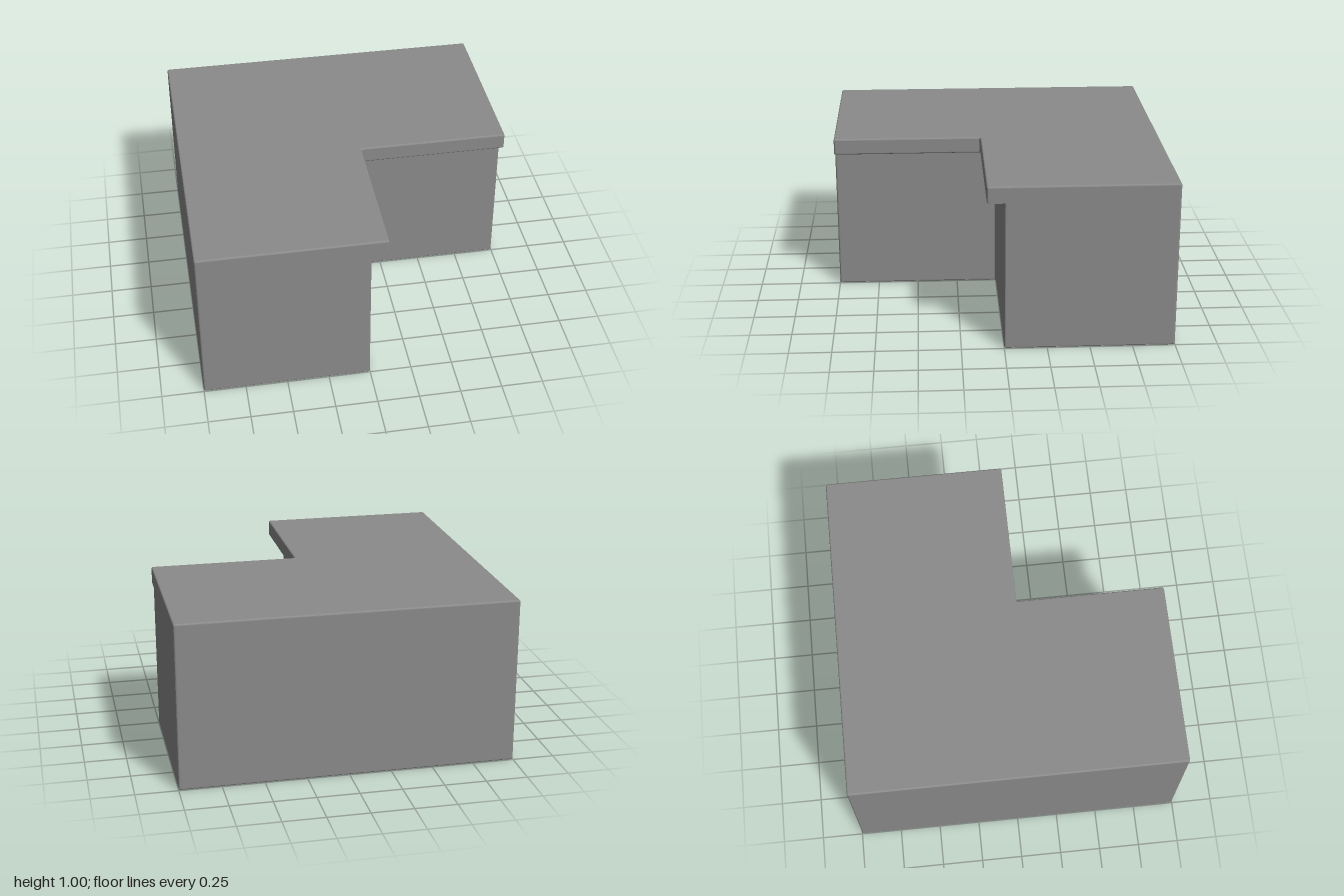
import * as THREE from 'three';

const BEVEL = 0.01, ROUND = 0.012, STEPS = 4;

// L-shaped outline with rounded corners: inset from the outer walls, notch edges at x = c and z = c
function outline(inset, c) {
  const lo = -1 + inset, hi = 1 - inset;
  const corners = [[lo, lo], [hi, lo], [hi, c], [c, c], [c, hi], [lo, hi]].map(p => new THREE.Vector2(...p));
  const points = [];
  corners.forEach((p, i) => {
    const u = corners[(i + 5) % 6].clone().sub(p).normalize();
    const v = corners[(i + 1) % 6].clone().sub(p).normalize();
    const r = i === 3 ? ROUND + inset : ROUND - inset;
    for (let k = 0; k <= STEPS; k++) {
      const t = (k / STEPS) * Math.PI / 2;
      points.push(new THREE.Vector2(
        p.x + r * (u.x + v.x - v.x * Math.cos(t) - u.x * Math.sin(t)),
        p.y + r * (u.y + v.y - v.y * Math.cos(t) - u.y * Math.sin(t))));
    }
  });
  return points;
}

// Levels from the floor to the top: height, wall inset, notch position
function makeLevels() {
  const levels = [];
  const arc = fn => {
    for (let k = 0; k <= STEPS; k++) {
      const t = (k / STEPS) * Math.PI / 2;
      levels.push(fn(BEVEL * (1 - Math.cos(t)), BEVEL * (1 - Math.sin(t))));
    }
  };
  arc((rise, inset) => [rise, inset, -inset]);                        // bottom bevel
  arc((a, b) => [0.9 - b, 0, a]);                                     // fillet under the overhang
  arc((a, b) => [0.9 + a, 0, 0.1 - b]);                               // lower edge of the lip
  arc((inset, drop) => [1 - drop, inset, 0.1 - inset]);               // top bevel
  return levels;
}

function cornerGeometry() {
  const rings = makeLevels().map(([y, inset, c]) =>
    outline(inset, c).map(p => new THREE.Vector3(p.x, y, p.y)));
  const positions = [];
  const tri = (a, b, c) => {
    const area = b.clone().sub(a).cross(c.clone().sub(a)).length();
    if (area > 1e-9) for (const p of [a, b, c]) positions.push(p.x, p.y, p.z);
  };

  // Walls, ledge and bevels
  for (let i = 0; i < rings.length - 1; i++) {
    const low = rings[i], high = rings[i + 1], n = low.length;
    for (let j = 0; j < n; j++) {
      const k = (j + 1) % n;
      tri(low[j], high[j], low[k]);
      tri(low[k], high[j], high[k]);
    }
  }

  // Flat top and underside
  const cap = (ring, up) => {
    const flat = ring.map(p => new THREE.Vector2(p.x, p.z));
    for (const [a, b, c] of THREE.ShapeUtils.triangulateShape(flat, [])) {
      const cross = flat[b].clone().sub(flat[a]).cross(flat[c].clone().sub(flat[a]));
      if ((cross < 0) === up) tri(ring[a], ring[b], ring[c]);
      else tri(ring[a], ring[c], ring[b]);
    }
  };
  cap(rings[0], false);
  cap(rings[rings.length - 1], true);

  const geometry = new THREE.BufferGeometry();
  geometry.setAttribute('position', new THREE.Float32BufferAttribute(positions, 3));
  geometry.computeVertexNormals();
  return geometry;
}

export function createModel() {
  const group = new THREE.Group();
  group.name = 'cornerCounter';
  const grey = new THREE.MeshStandardMaterial({ color: 0x8b8b8b });
  grey.name = 'grey';
  const body = new THREE.Mesh(cornerGeometry(), grey);
  body.name = 'counterWithOverhang';
  group.add(body);
  return group;
}
